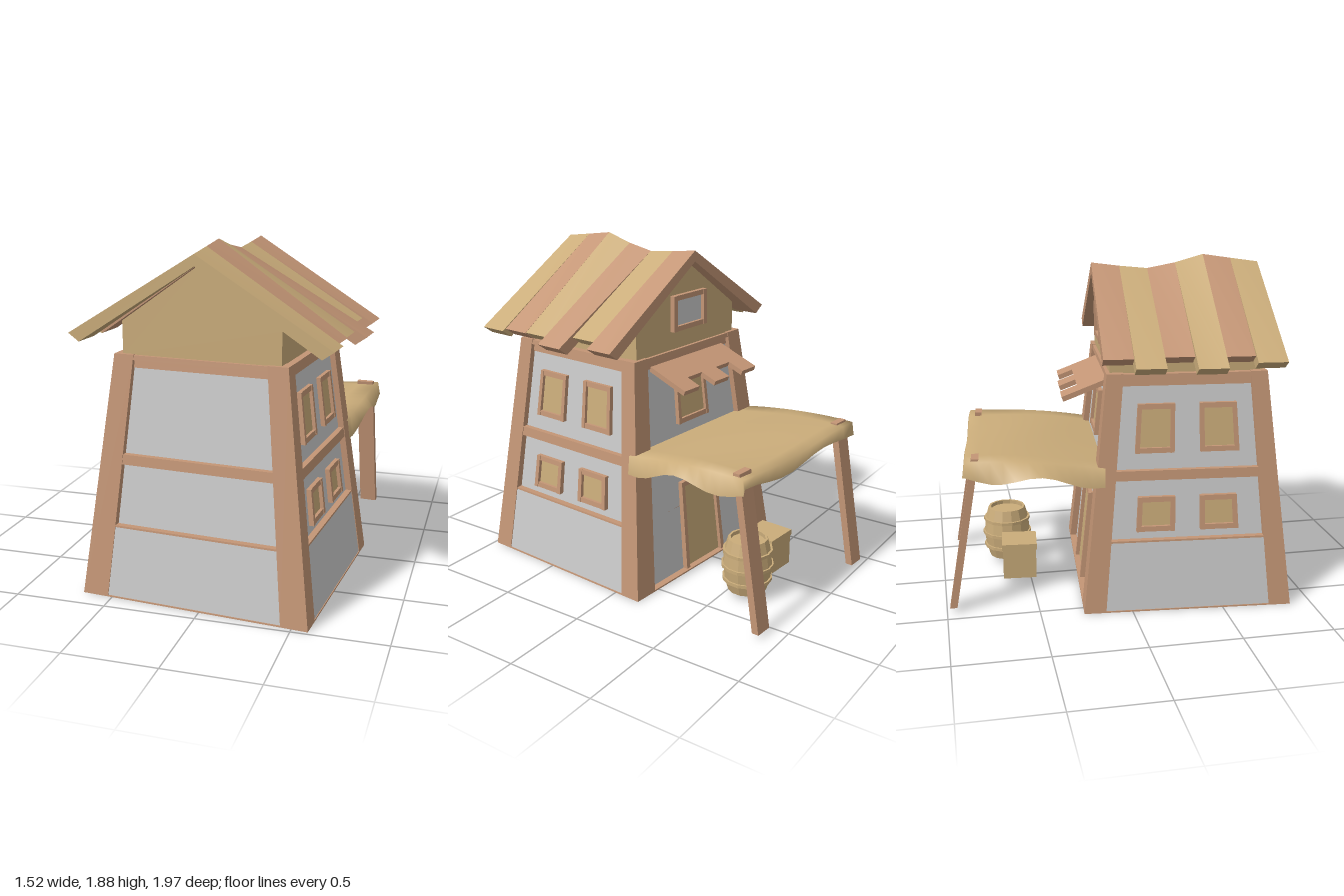
import * as THREE from 'three';

const mat = (color, side = THREE.FrontSide, flatShading = false) =>
  new THREE.MeshStandardMaterial({ color, side, flatShading });
const GREY = mat(0xcccccc), WOOD = mat(0xc49676), TAN = mat(0xcaac7a);
const CLOTH = mat(0xcaac7a, THREE.DoubleSide), LINING = mat(0xc49676, THREE.DoubleSide);
const STAVE = mat(0xcaac7a, THREE.DoubleSide, true);

// Walls lean inward with height: half size HX x HZ at the ground
const HX = 0.63, HZ = 0.575;
const lean = (v) => v.set(v.x * (1 - 0.195 * v.y), v.y, v.z * (1 - 0.187 * v.y));

// Moves every vertex of a geometry by a rule
function warp(geo, rule) {
  const p = geo.attributes.position, v = new THREE.Vector3();
  for (let i = 0; i < p.count; i++) {
    rule(v.fromBufferAttribute(p, i));
    p.setXYZ(i, v.x, v.y, v.z);
  }
  geo.computeVertexNormals();
  return geo;
}

function add(parent, name, geo, material) {
  const m = new THREE.Mesh(geo, material);
  m.name = name;
  parent.add(m);
  return m;
}

// Box between two corners, leaning with the walls unless told otherwise
function block(parent, name, material, [x0, y0, z0], [x1, y1, z1], rule = lean) {
  const geo = new THREE.BoxGeometry(x1 - x0, y1 - y0, z1 - z0);
  geo.translate((x0 + x1) / 2, (y0 + y1) / 2, (z0 + z1) / 2);
  return add(parent, name, warp(geo, rule), material);
}

// Framed opening. face: 'x' (+x), '-x' or '-z'; u is the offset along the wall, d the wall distance
function opening(parent, name, face, u, y0, y1, w, d, pane, rule = lean, sill = true) {
  const g = new THREE.Group();
  g.name = name;
  parent.add(g);
  const b = 0.028;
  const piece = (part, m, u0, u1, a, c, out) => {
    if (face === 'x') block(g, part, m, [d - 0.02, a, u0], [d + out, c, u1], rule);
    else if (face === '-x') block(g, part, m, [-d - out, a, u0], [-d + 0.02, c, u1], rule);
    else block(g, part, m, [u0, a, -d - out], [u1, c, -d + 0.02], rule);
  };
  const l = u - w / 2, r = u + w / 2;
  piece('pane', pane, l + b / 2, r - b / 2, y0 + 0.002, y1 - b / 2, 0.008);
  piece('jamb', WOOD, l, l + b, y0, y1, 0.03);
  piece('jamb', WOOD, r - b, r, y0, y1, 0.03);
  piece('lintel', WOOD, l + b, r - b, y1 - b, y1, 0.026);
  if (sill) piece('sill', WOOD, l + b, r - b, y0, y0 + b, 0.026);
}

function buildWalls(g) {
  const W = HX - 0.04, D = HZ - 0.04;
  block(g, 'floorPlate', WOOD, [-HX, 0, -HZ], [HX, 0.008, HZ]);
  block(g, 'walls', GREY, [-W, 0.008, -D], [W, 1.28, D]);
  block(g, 'plinth', GREY, [-HX + 0.004, 0.008, -D], [HX - 0.004, 0.385, HZ - 0.004]);
  block(g, 'plinthCap', WOOD, [-HX + 0.003, 0.385, -D], [HX - 0.003, 0.395, HZ - 0.003]);
  block(g, 'middleBeam', WOOD, [-HX + 0.004, 0.725, -HZ + 0.004], [HX - 0.004, 0.778, HZ - 0.004]);
  block(g, 'innerTopBeam', WOOD, [-W - 0.01, 1.23, -D - 0.01], [W + 0.01, 1.28, D + 0.01]);
  block(g, 'topBeam', WOOD, [-HX + 0.004, 1.272, -HZ + 0.004], [HX - 0.004, 1.297, HZ - 0.004]);
  for (const sx of [-1, 1]) for (const sz of [-1, 1]) {
    const xs = [sx * HX, sx * (HX - 0.145)].sort((a, b) => a - b);
    const zs = [sz * HZ, sz * (HZ - 0.12)].sort((a, b) => a - b);
    block(g, 'cornerPost', WOOD, [xs[0], 0, zs[0]], [xs[1], 1.3, zs[1]]);
  }
  for (const face of ['x', '-x']) for (const s of [-1, 1]) {
    opening(g, 'upperWindow', face, s * 0.213, 0.87, 1.135, 0.255, W, TAN);
    opening(g, 'lowerWindow', face, s * 0.192, 0.44, 0.63, 0.23, W, TAN);
  }
  opening(g, 'backWindow', '-z', 0, 0.87, 1.13, 0.33, D, TAN);
  opening(g, 'door', '-z', 0, 0.01, 0.53, 0.36, D, TAN, lean, false);
}

function buildRoof(g) {
  // Gable storey
  const s = new THREE.Shape([[-0.43, 1.29], [0.43, 1.29], [0.43, 1.47], [0, 1.77], [-0.43, 1.47]]
    .map(([x, y]) => new THREE.Vector2(x, y)));
  const gable = new THREE.ExtrudeGeometry(s, { depth: 0.83, bevelEnabled: false });
  add(g, 'gable', gable.translate(0, 0, -0.415), TAN);
  opening(g, 'gableWindow', '-z', 0, 1.4, 1.6, 0.29, 0.415, GREY, () => {});

  // Uneven planks, back to front, along a wavy ridge
  const ridge = [1.835, 1.815, 1.8, 1.83, 1.875, 1.852, 1.83];
  const reach = { 1: [0.70, 0.64, 0.744, 0.68, 0.685, 0.707], '-1': [0.66, 0.744, 0.65, 0.754, 0.656, 0.713] };
  for (const side of [1, -1]) reach[side].forEach((x, i) => {
    const eave = 1.395 + (0.72 - x) * 0.4;
    const geo = warp(new THREE.BoxGeometry(2, 2, 2), (v) => {
      const outer = v.x * side > 0, top = v.y > 0, k = v.z > 0 ? i + 1 : i;
      v.x = outer ? side * (top ? x : x - 0.06) : 0;
      v.y = outer ? (top ? eave : eave - 0.042) : ridge[k] - (top ? 0 : 0.06);
      v.z = -0.472 + k * 0.158;
    });
    add(g, 'roofPlank', geo, i % 2 ? TAN : WOOD);
  });
}

function buildAwnings(g) {
  // Small plank hood above the back window
  const hood = new THREE.Group();
  hood.name = 'windowHood';
  hood.position.set(0, 1.245, -0.41);
  hood.rotation.x = -0.37;
  [0.275, 0.175, 0.275, 0.175, 0.265].forEach((len, i) => {
    const x = (i - 2) * 0.128;
    block(hood, 'hoodPlank', WOOD, [x - 0.064, -0.028, -len], [x + 0.064, 0, 0], () => {});
  });
  g.add(hood);

  // Cloth canopy: outermost rows hang down as a wavy edge
  const height = (t) => 0.8 + 0.06 * Math.sin(2.2 * t);
  const N = 12;
  const cloth = new THREE.PlaneGeometry(2, 2, N, N).rotateX(-Math.PI / 2);
  warp(cloth, (v) => {
    const i = Math.round((v.x + 1) * N / 2), j = Math.round((1 - v.z) * N / 2);
    const t = Math.min(j, N - 1) / (N - 1), side = Math.sign(v.x);
    const u = (Math.min(Math.max(i, 1), N - 1) - 1) / (N - 2) * 2 - 1;
    const hangX = i === 0 || i === N, hangZ = j === N;
    v.x = u * 0.54;
    v.y = height(t) + 0.012 * Math.sin(u * 3 + t * 4) * t;
    v.z = -0.45 - 0.745 * t;
    if (hangX) {
      v.x += side * (0.012 + (side < 0 ? 0.075 : 0.03) * Math.sin(Math.PI * t) ** 2);
      v.y -= 0.085 + 0.03 * Math.sin(t * 9 + 0.6);
    }
    if (hangZ) {
      v.z -= 0.012;
      if (!hangX) v.y -= 0.06 + 0.015 * Math.sin(u * 5);
    }
  });
  add(g, 'canopyCloth', cloth, CLOTH);
  const lining = new THREE.PlaneGeometry(1.06, 0.74, 1, 8).rotateX(-Math.PI / 2).translate(0, 0, -0.82);
  warp(lining, (v) => { v.y = height((-0.45 - v.z) / 0.745) - 0.05; });
  add(g, 'canopyLining', lining, LINING);

  // Leaning canopy posts poking through the cloth
  for (const s of [-1, 1])
    block(g, 'canopyPost', WOOD, [s * 0.47 - 0.05, 0.025, -0.02], [s * 0.47 + 0.05, 0.872, 0.02], (v) => {
      v.z += -1.288 + 0.17 * v.y;
      v.x += s * 0.012 * (1 - v.y);
    });
}

function buildGoods(g) {
  const barrel = new THREE.Group();
  barrel.name = 'barrel';
  barrel.position.set(0.176, 0.038, -0.983);
  const profile = [[0, 0], [0.108, 0], [0.128, 0.07], [0.137, 0.155], [0.128, 0.24], [0.11, 0.307],
    [0.096, 0.307], [0.096, 0.285], [0, 0.285]].map(([x, y]) => new THREE.Vector2(x, y));
  add(barrel, 'staves', new THREE.LatheGeometry(profile, 14), STAVE);
  for (const [y, r] of [[0.07, 0.139], [0.15, 0.146], [0.235, 0.139]])
    add(barrel, 'hoop', new THREE.CylinderGeometry(r, r, 0.018, 14), STAVE).position.y = y;
  g.add(barrel);
  block(g, 'crate', TAN, [-0.213, 0.04, -1.01], [-0.023, 0.235, -0.82], () => {});
  block(g, 'crateLid', TAN, [-0.218, 0.215, -1.015], [-0.018, 0.25, -0.815], () => {});
}

export function createModel() {
  const model = new THREE.Group();
  model.name = 'house';
  const house = new THREE.Group();
  house.name = 'building';
  house.position.set(0.005, 0, 0.3575);
  house.rotation.y = -0.08;
  buildWalls(house);
  buildRoof(house);
  buildAwnings(house);
  buildGoods(house);
  model.add(house);
  return model;
}
